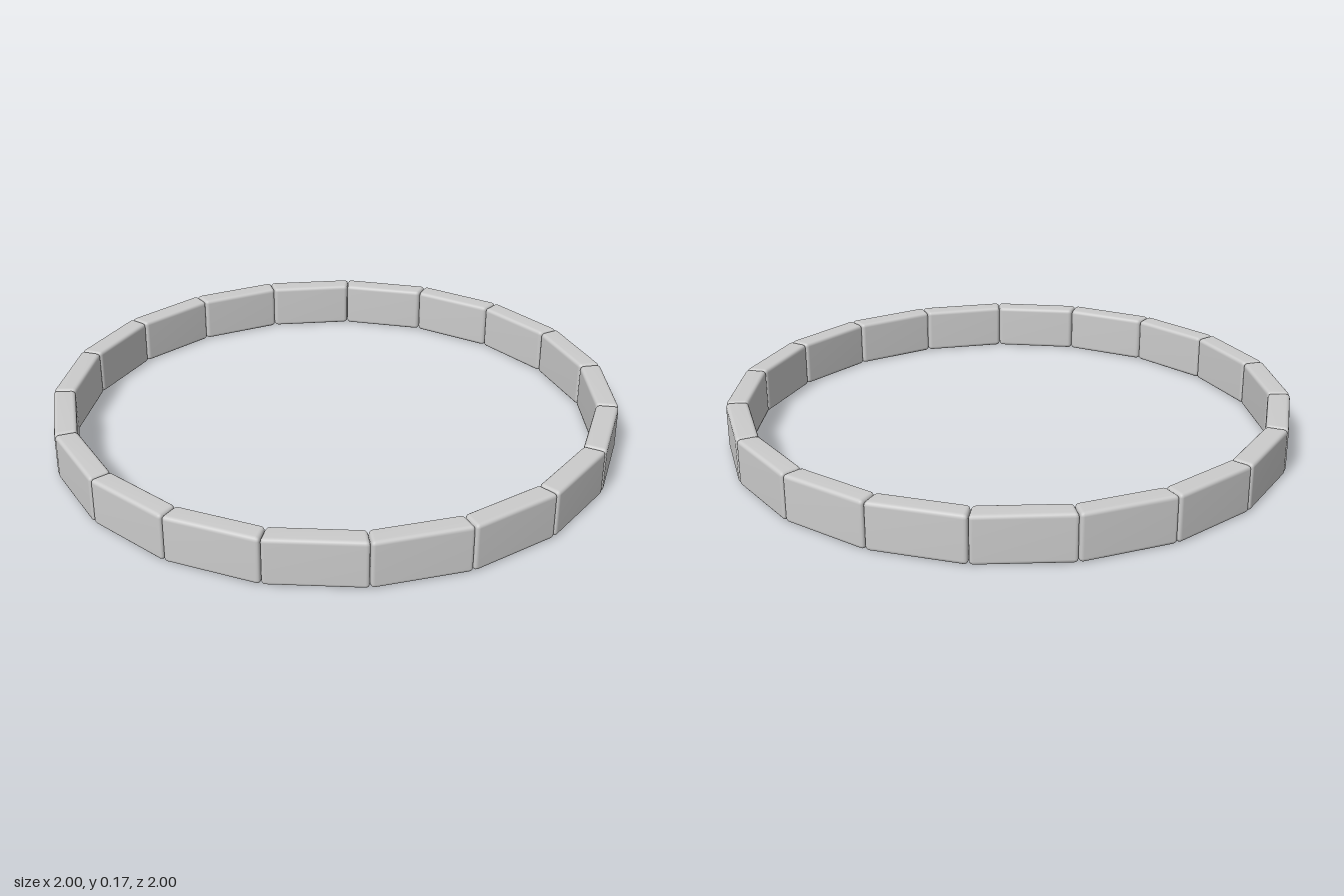
import * as THREE from 'three';
import { mergeVertices } from 'three/addons/utils/BufferGeometryUtils.js';
import { RoundedBoxGeometry } from 'three/addons/geometries/RoundedBoxGeometry.js';

const COUNT = 19;
const OUTER = 0.992; // distance from the axis to the outer faces
const DEPTH = 0.078;
const HEIGHT = 0.166;
const EDGE = 0.014;

// One softly bevelled block, tapered towards the axis so neighbours meet flush
function linkGeometry() {
  const mid = OUTER - DEPTH / 2;
  const width = 2 * mid * Math.tan(Math.PI / COUNT) - 0.001;
  let geometry = new RoundedBoxGeometry(width, HEIGHT, DEPTH, 2, EDGE);
  const p = geometry.attributes.position;
  for (let i = 0; i < p.count; i++) {
    p.setX(i, p.getX(i) * (1 + p.getZ(i) / mid));
  }
  geometry.deleteAttribute('normal');
  geometry.deleteAttribute('uv');
  geometry = mergeVertices(geometry, 1e-5);
  geometry.computeVertexNormals();
  return geometry.translate(0, HEIGHT / 2, mid);
}

export function createModel() {
  const model = new THREE.Group();
  model.name = 'segmentedRing';
  const material = new THREE.MeshStandardMaterial({ color: 0xcccccc });
  const geometry = linkGeometry();

  // Ring of identical blocks, the first one facing the front
  for (let i = 0; i < COUNT; i++) {
    const link = new THREE.Mesh(geometry, material);
    link.name = `ringBlock${i + 1}`;
    link.rotation.y = (i / COUNT) * Math.PI * 2;
    link.position.z = 0.003; // centres the odd-sided ring in depth
    model.add(link);
  }
  return model;
}
